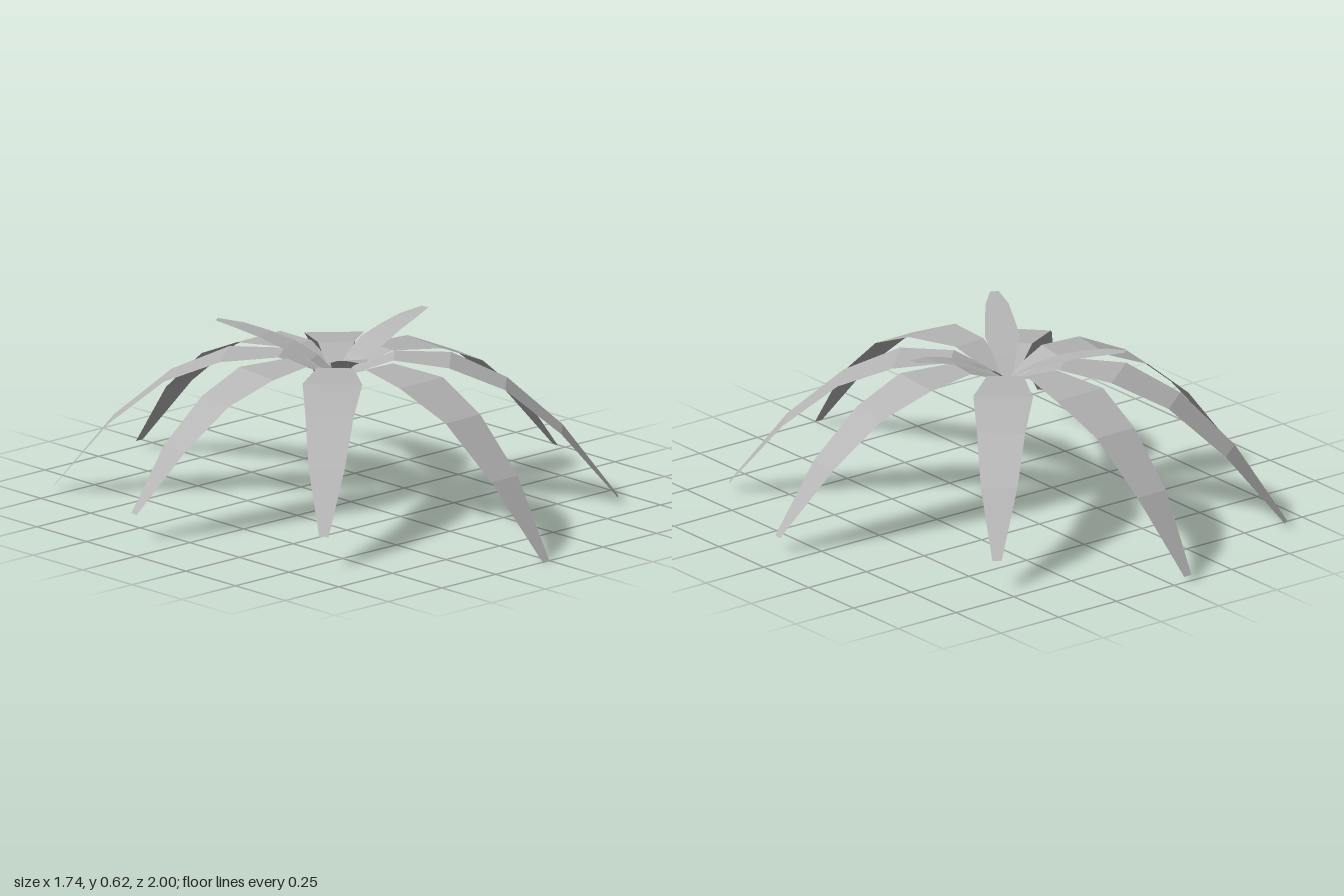
import * as THREE from 'three';

const CENTRE = { x: -0.04, z: -0.02 };

// Flat tapering blade: evenly spaced rows from the centre to the tip at (tx, tz)
function blade(tx, tz, heights, widths) {
  const dx = tx - CENTRE.x, dz = tz - CENTRE.z;
  const len = Math.hypot(dx, dz);
  const px = -dz / len, pz = dx / len;
  const pos = [], idx = [];
  heights.forEach((y, i) => {
    const t = i / (heights.length - 1), w = widths[i] / 2;
    const x = CENTRE.x + dx * t, z = CENTRE.z + dz * t;
    pos.push(x - px * w, y, z - pz * w, x + px * w, y, z + pz * w);
    if (i > 0) {
      const a = 2 * (i - 1);
      idx.push(a, a + 1, a + 2, a + 1, a + 3, a + 2);
    }
  });
  const indexed = new THREE.BufferGeometry();
  indexed.setAttribute('position', new THREE.Float32BufferAttribute(pos, 3));
  indexed.setIndex(idx);
  const geo = indexed.toNonIndexed();
  geo.computeVertexNormals(); // faceted
  return geo;
}

export function createModel() {
  const group = new THREE.Group();
  group.name = 'leafCrown';
  const leafGrey = new THREE.MeshStandardMaterial({ color: 0xb4b4b4, side: THREE.DoubleSide });
  leafGrey.name = 'leafGrey';

  const add = (name, geo) => {
    const mesh = new THREE.Mesh(geo, leafGrey);
    mesh.name = name;
    group.add(mesh);
  };

  // Eight drooping fronds; longer ones hang lower
  const drops = [0.015, 0.1, 0.268, 0.515];
  const frondTips = [
    [-0.015, 1], [0.64, 0.655], [0.87, 0.09], [0.495, -0.65],
    [-0.06, -1], [-0.645, -0.795], [-0.87, -0.152], [-0.625, 0.54],
  ];
  frondTips.forEach(([x, z], i) => {
    const reach = Math.hypot(x - CENTRE.x, z - CENTRE.z);
    const heights = [0.45, 0.525, ...drops.map((d) => 0.525 - d * reach)];
    add(`droopingFrond${i + 1}`, blade(x, z, heights, [0.045, 0.125, 0.205, 0.165, 0.125, 0.032]));
  });

  // Three short young leaves rising from the centre
  [[0.375, -0.03], [-0.255, -0.4], [-0.26, 0.335]].forEach(([x, z], i) => {
    add(`youngLeaf${i + 1}`, blade(x, z,
      [0.45, 0.51, 0.547, 0.577, 0.6, 0.615], [0.03, 0.08, 0.12, 0.1, 0.08, 0.03]));
  });

  return group;
}
